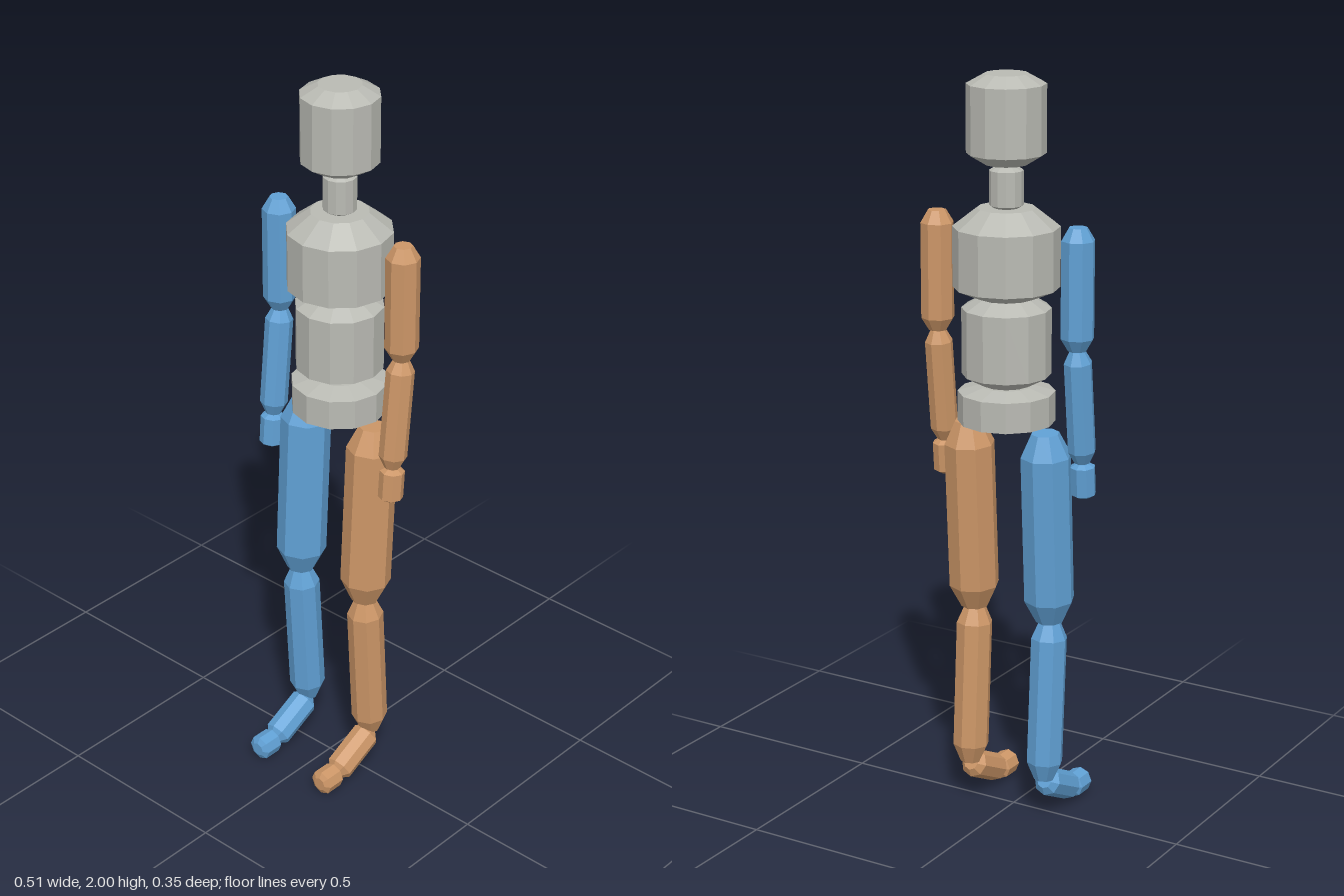
import * as THREE from 'three';

const grey = new THREE.MeshStandardMaterial({ color: 0xb9bab3 });
grey.name = 'bodyGrey';
const blue = new THREE.MeshStandardMaterial({ color: 0x60a0d4 });
blue.name = 'rightBlue';
const orange = new THREE.MeshStandardMaterial({ color: 0xcc9667 });
orange.name = 'leftOrange';

const Z = -0.036; // depth of the body's axis
const END = 0.55; // radius of each flat end compared with the middle

// Faceted segment with bevelled ends, running from point a to point b
function segment(name, material, a, b, radius, bevelA, bevelB, sides) {
  const from = new THREE.Vector3(...a);
  const dir = new THREE.Vector3(...b).sub(from);
  const length = dir.length();
  const profile = [
    [0, 0], [radius * END, 0], [radius, bevelA],
    [radius, length - bevelB], [radius * END, length], [0, length],
  ].map(([r, y]) => new THREE.Vector2(r, y));
  const geometry = new THREE.LatheGeometry(profile, sides).toNonIndexed();
  geometry.computeVertexNormals(); // flat facets
  const mesh = new THREE.Mesh(geometry, material);
  mesh.name = name;
  mesh.position.copy(from);
  mesh.quaternion.setFromUnitVectors(new THREE.Vector3(0, 1, 0), dir.normalize());
  return mesh;
}

export function createModel() {
  const model = new THREE.Group();
  model.name = 'jointedFigure';

  // Trunk: name, bottom, top, radius, lower bevel, upper bevel
  const trunk = new THREE.Group();
  trunk.name = 'trunk';
  for (const [name, y0, y1, r, low, high] of [
    ['pelvis', 1.083, 1.195, 0.127, 0.016, 0.016],
    ['abdomen', 1.197, 1.43, 0.116, 0.028, 0.03],
    ['chest', 1.428, 1.66, 0.138, 0.027, 0.048],
    ['neck', 1.655, 1.768, 0.044, 0.012, 0.012],
    ['head', 1.772, 2.0, 0.102, 0.028, 0.025],
  ]) trunk.add(segment(name, grey, [0, y0, Z], [0, y1, Z], r, low, high, 12));
  model.add(trunk);

  // Limbs: name, x, start [y, z], end [y, z], radius, bevel
  const limbs = [
    ['UpperArm', 0.209, [1.314, Z], [1.632, Z], 0.044, 0.033],
    ['Forearm', 0.209, [1.01, -0.005], [1.314, Z], 0.037, 0.032],
    ['Hand', 0.21, [0.915, 0.001], [1.008, -0.006], 0.033, 0.009],
    ['Thigh', 0.116, [0.558, -0.009], [1.082, Z], 0.0675, 0.062],
    ['Shin', 0.116, [0.113, Z], [0.56, -0.009], 0.049, 0.05],
    ['Foot', 0.116, [0.036, 0.107], [0.106, -0.034], 0.0385, 0.018],
    ['Toes', 0.116, [0.0345, 0.173], [0.0345, 0.105], 0.0345, 0.009],
  ];
  for (const [side, sign, material] of [['left', 1, orange], ['right', -1, blue]]) {
    const group = new THREE.Group();
    group.name = side + 'Limbs';
    for (const [name, x, [y0, z0], [y1, z1], r, bevel] of limbs) {
      group.add(segment(side + name, material, [sign * x, y0, z0], [sign * x, y1, z1], r, bevel, bevel, 8));
    }
    model.add(group);
  }
  return model;
}
